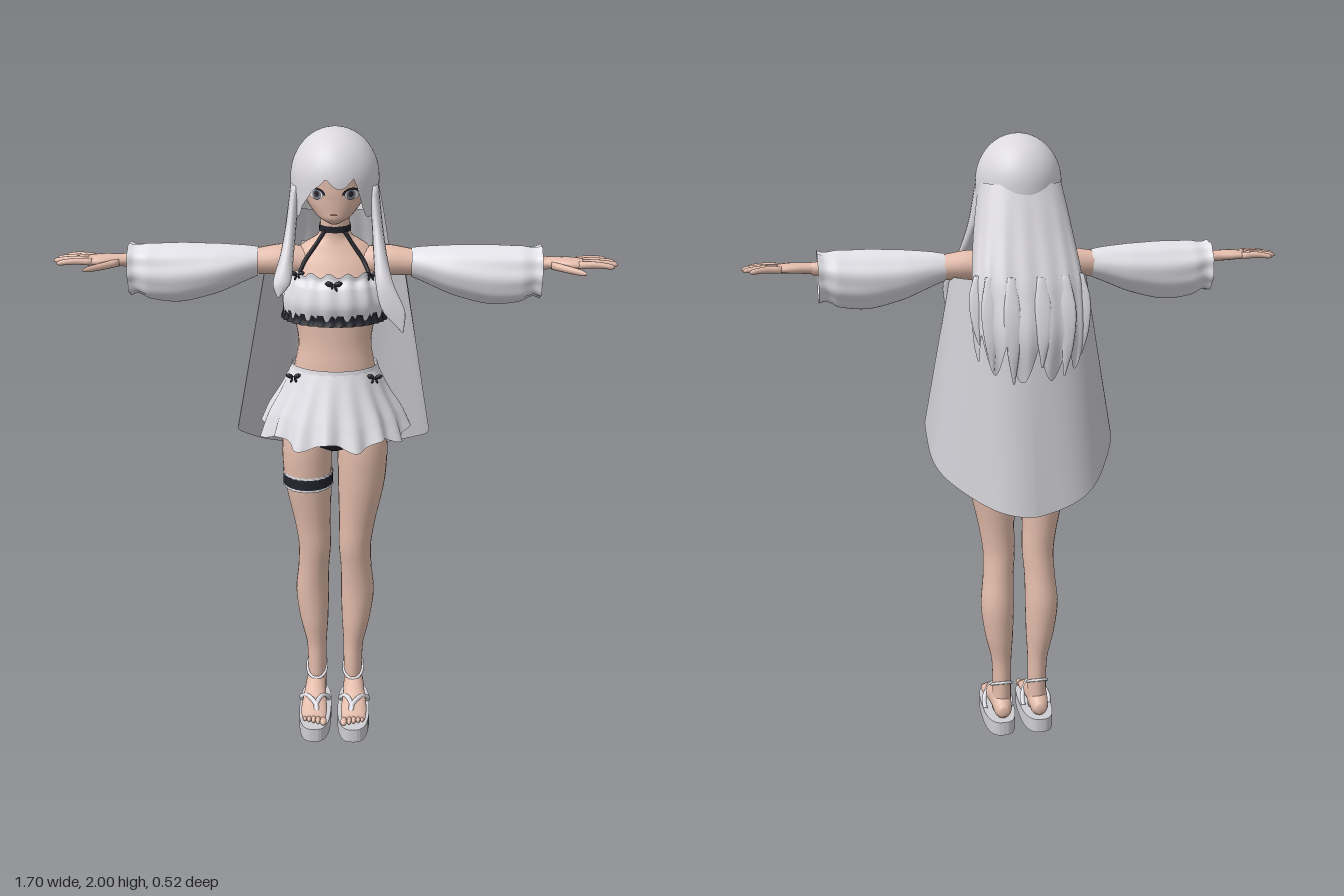
import * as THREE from 'three';
import { mergeVertices } from 'three/addons/utils/BufferGeometryUtils.js';

const { sin, cos, abs, sqrt, PI, min, max } = Math;
const mat = (name, color, side = THREE.FrontSide) => {
  const m = new THREE.MeshStandardMaterial({ color, side });
  m.name = name;
  return m;
};
const V = (p) => new THREE.Vector3(p[0], p[1], p[2] ?? 0);

// Smooth grid surface from fn(u, v); coincident seams are welded.
function surface(fn, nu, nv) {
  const pos = [], idx = [];
  for (let j = 0; j <= nv; j++) for (let i = 0; i <= nu; i++) pos.push(...fn(i / nu, j / nv));
  for (let j = 0; j < nv; j++) for (let i = 0; i < nu; i++) {
    const a = j * (nu + 1) + i, b = a + nu + 1;
    idx.push(a, b, a + 1, a + 1, b, b + 1);
  }
  let g = new THREE.BufferGeometry();
  g.setAttribute('position', new THREE.Float32BufferAttribute(pos, 3));
  g.setIndex(idx);
  g = mergeVertices(g, 1e-5);
  g.computeVertexNormals();
  return g;
}

// Elliptical sections [x, y, z, radiusU, radiusV], listed upward along the axis.
const AXES = { y: [0, 2], x: [2, 1], z: [1, 0] };
function loft(rows, { axis = 'y', seg = 24, steps = 24, cap = true, wave, hem } = {}) {
  const centre = new THREE.CatmullRomCurve3(rows.map(V));
  const radii = new THREE.CatmullRomCurve3(rows.map((r) => V([r[3], r[4]])));
  const [iu, iv] = AXES[axis], nv = steps + 2;
  return surface((u, v) => {
    const j = Math.round(v * nv), a = (u === 1 ? 0 : u) * 2 * PI;
    const t = cap ? min(1, max(0, (j - 1) / steps)) : v;
    const p = centre.getPoint(t).toArray(), r = radii.getPoint(t);
    const k = cap && (j === 0 || j === nv) ? 0 : wave ? wave(a, t) : 1;
    p[iu] += r.x * cos(a) * k;
    p[iv] += r.y * sin(a) * k;
    if (hem) p[1] += hem(a, t);
    return p;
  }, seg, nv);
}

const tube = (pts, r, closed = false) =>
  new THREE.TubeGeometry(new THREE.CatmullRomCurve3(pts.map(V), closed), 24, r, 8, closed);

export function createModel() {
  const skin = mat('skin', 0xe3bcab);
  const hair = mat('hair', 0xdbd9de, THREE.DoubleSide);
  const cloth = mat('white cloth', 0xe2e1e7, THREE.DoubleSide);
  const capeMat = mat('cape cloth', 0xcbcad0, THREE.DoubleSide);
  const black = mat('black cloth', 0x23242d, THREE.DoubleSide);
  const sole = mat('sandal sole', 0xcfcfd3);
  const iris = mat('iris', 0x74757e);
  const lip = mat('lip', 0xb9806f);

  const model = new THREE.Group();
  const add = (name, geo, m, parent = model) => {
    const mesh = new THREE.Mesh(geo, m);
    mesh.name = name;
    parent.add(mesh);
    return mesh;
  };
  const ball = (name, m, p, s, parent) => {
    const b = add(name, new THREE.SphereGeometry(1, 14, 10), m, parent);
    b.position.set(...p);
    b.scale.set(...s);
    return b;
  };
  const bow = (x, y, z, s) => {
    const g = new THREE.Group();
    g.name = 'bow';
    g.position.set(x, y, z);
    for (const d of [-1, 1]) {
      ball('bowLoop', black, [d * s, s * 0.3, 0], [s, s * 0.6, s * 0.4], g).rotation.z = d * 0.3;
      ball('bowTail', black, [d * s * 0.5, -s * 0.8, 0], [s * 0.3, s * 0.8, s * 0.3], g).rotation.z = d * 0.4;
    }
    model.add(g);
  };

  // Torso, neck and head
  add('torso', loft([[0, 1.08, 0.04, 0.15, 0.1], [0, 1.18, 0.045, 0.145, 0.1], [0, 1.27, 0.055, 0.125, 0.09],
    [0, 1.35, 0.055, 0.113, 0.082], [0, 1.45, 0.05, 0.13, 0.085], [0, 1.53, 0.045, 0.14, 0.085],
    [0, 1.6, 0.03, 0.135, 0.072], [0, 1.645, 0.025, 0.1, 0.055], [0, 1.68, 0.025, 0.048, 0.046],
    [0, 1.77, 0.035, 0.04, 0.043]], { steps: 40 }), skin);
  add('head', loft([[0, 1.732, 0.118, 0.015, 0.02], [0, 1.75, 0.095, 0.05, 0.06], [0, 1.79, 0.07, 0.083, 0.088],
    [0, 1.83, 0.055, 0.1, 0.105], [0, 1.88, 0.05, 0.108, 0.11], [0, 1.95, 0.05, 0.08, 0.08]], { seg: 32 }), skin);

  // Face details as thin curved plates
  const plate = (name, m, cx, cy, w, h, off, start = 0, len = 2 * PI, inner = 0) => {
    const g = inner ? new THREE.RingGeometry(inner, 1, 20, 1, start, len) : new THREE.CircleGeometry(1, 20, start, len);
    const p = g.attributes.position;
    for (let i = 0; i < p.count; i++) {
      const x = cx + p.getX(i) * w, y = cy + p.getY(i) * h;
      p.setXYZ(i, x, y, 0.055 + 0.105 * sqrt(1 - (x / 0.1) ** 2) + off);
    }
    g.computeVertexNormals();
    add(name, g, m);
  };
  for (const s of [-1, 1]) {
    plate('eyeWhite', cloth, s * 0.052, 1.823, 0.021, 0.014, 0.004);
    plate('iris', iris, s * 0.05, 1.823, 0.013, 0.015, 0.006);
    plate('pupil', black, s * 0.05, 1.826, 0.007, 0.009, 0.008);
    plate('eyelash', black, s * 0.052, 1.822, 0.028, 0.022, 0.007, 0.1, PI - 0.2, 0.72);
  }
  plate('mouth', lip, 0, 1.765, 0.011, 0.0025, 0.001);

  // Hair cap with a swept, pointed fringe
  const smooth = THREE.MathUtils.smoothstep;
  add('hairCap', surface((u, v) => {
    const d = ((u === 1 ? 0 : u) - 0.5) * 2 * PI, s = abs(d), yc = 1.855, ry = 0.145;
    const front = 1 - smooth(s, 0.7, 1.1);
    const end = 1.876 - front * 0.032 * abs(sin(5 * (d + 0.17))) - smooth(s, 0.4, 1.0) * 0.12 - smooth(s, 1.6, 2.6) * 0.03;
    const q = v * (end > yc ? Math.acos((end - yc) / ry) : PI / 2 + (yc - end) / ry);
    const y = q < PI / 2 ? yc + ry * cos(q) : yc - (q - PI / 2) * ry;
    const r = q < PI / 2 ? sin(q) : 1 - 0.06 * (q - PI / 2) ** 2;
    return [0.132 * r * sin(d), y, 0.037 + 0.149 * r * cos(d)];
  }, 96, 20), hair);

  // Long back hair: [back z, edge z, half width] at even heights, with a ragged hem
  const fall = new THREE.CatmullRomCurve3([[-0.1, 0.03, 0.124], [-0.157, -0.03, 0.15], [-0.215, -0.11, 0.168],
    [-0.245, -0.13, 0.17], [-0.225, -0.15, 0.155]].map(V));
  const hairPoint = (s, y, out = 0) => {
    const f = fall.getPoint(min(1, max(0, (1.86 - y) / 0.58))), c = max(0, cos(s * PI / 2));
    return [f.z * sin(s * PI / 2), y, f.y + (f.x - f.y) * c ** 0.55 - out];
  };
  add('backHair', surface((u, v) => {
    const s = 2 * u - 1;
    const end = 1.43 - 0.11 * abs(sin(s * 8.2 + 0.4)) - 0.04 * cos(s * 2.4);
    return hairPoint(s, 1.86 + (end - 1.86) * v, 0.004 * sin(s * 24) * v);
  }, 96, 24), hair);
  for (const [s, y] of [[-0.75, 1.36], [-0.42, 1.3], [-0.1, 1.33], [0.25, 1.28], [0.55, 1.32], [0.8, 1.4]]) {
    const rows = [0, 0.3, 0.65, 1].map((t, i) => [...hairPoint(s, y + t * (1.6 - y), -0.001), [0.003, 0.018, 0.026, 0.012][i], 0.005]);
    add('backHairLock', loft(rows, { seg: 12, steps: 12 }), hair);
  }

  // Front side locks; the left one is longer
  const lock = [[0.205, 1.44, 0.255, 0.003, 0.003], [0.175, 1.51, 0.25, 0.034, 0.007], [0.15, 1.58, 0.23, 0.026, 0.016],
    [0.137, 1.65, 0.175, 0.02, 0.036], [0.127, 1.73, 0.11, 0.016, 0.047], [0.115, 1.84, 0.065, 0.015, 0.05]];
  add('leftLock', loft(lock, { seg: 14 }), hair);
  add('rightLock', loft([[-0.16, 1.54, 0.245, 0.003, 0.004], ...lock.slice(2).map(([x, ...r]) => [-x, ...r])], { seg: 14 }), hair);

  // Choker, halter straps and bust top
  add('choker', loft([[0, 1.69, 0.026, 0.049, 0.049], [0, 1.71, 0.027, 0.047, 0.049]], { steps: 2, cap: false }), black);
  for (const s of [-1, 1]) {
    add('halterStrap', tube([[s * 0.03, 1.695, 0.068], [s * 0.06, 1.65, 0.078], [s * 0.088, 1.61, 0.09], [s * 0.11, 1.565, 0.118]], 0.006), black);
    bow(s * 0.11, 1.575, 0.122, 0.011);
    bow(s * 0.125, 1.25, 0.125, 0.012);
  }
  add('bustTop', loft([[0, 1.44, 0.058, 0.155, 0.108], [0, 1.49, 0.06, 0.158, 0.122], [0, 1.54, 0.058, 0.148, 0.114],
    [0, 1.565, 0.055, 0.141, 0.1], [0, 1.58, 0.055, 0.143, 0.1]],
  { seg: 120, cap: false, wave: (a) => 1 + 0.02 * sin(16 * a), hem: (a, t) => 0.008 * t * t * sin(16 * a) }), cloth);
  add('bustTrim', loft([[0, 1.427, 0.058, 0.163, 0.118], [0, 1.445, 0.058, 0.157, 0.112], [0, 1.462, 0.058, 0.156, 0.116]],
    { seg: 160, steps: 4, cap: false, wave: (a) => 1 + 0.02 * sin(32 * a) }), black);
  bow(0, 1.555, 0.168, 0.013);

  // Skirt and briefs
  const gather = (a, t) => 1 + 0.05 * (1 - t) * sin(16 * a) + 0.02 * (1 - t) * sin(7 * a);
  add('skirt', loft([[0, 1.055, 0.035, 0.228, 0.2], [0, 1.12, 0.037, 0.207, 0.175], [0, 1.2, 0.045, 0.165, 0.138], [0, 1.275, 0.056, 0.132, 0.1]],
    { seg: 160, cap: false, wave: gather, hem: (a, t) => 0.014 * (1 - t) ** 2 * sin(8 * a + 1) }), cloth);
  add('waistband', loft([[0, 1.255, 0.055, 0.138, 0.106], [0, 1.28, 0.056, 0.134, 0.102]], { steps: 2, cap: false }), cloth);
  add('briefs', loft([[0, 1.0, 0.045, 0.04, 0.07], [0, 1.03, 0.042, 0.12, 0.108], [0, 1.08, 0.04, 0.168, 0.126],
    [0, 1.15, 0.04, 0.16, 0.115]]), black);

  // Cape wrapping the back, straight sides and a slanting hem
  add('cape', surface((u, v) => {
    const s = 2 * u - 1, a = s * 1.75;
    const ripple = 1 + 0.018 * v * sin(a * 7);
    const z = (0.037 + 0.017 * v) - (0.127 + 0.187 * v) * cos(a) * ripple;
    const zEnd = 0.054 - 0.314 * cos(a);
    const end = 0.862 + 0.22 * (zEnd + 0.26) / 0.37 + 0.03 * max(0, s) * cos(a);
    const across = s < 0 ? -(abs(sin(a)) ** 1.2) : sin(a);
    return [(0.215 + 0.088 * v) * across * ripple, 1.57 + (end - 1.57) * v, z];
  }, 64, 28), capeMat);

  // Arms, sleeves, hands, legs and sandals, mirrored
  for (const s of [1, -1]) {
    const side = new THREE.Group();
    side.name = s > 0 ? 'leftLimbs' : 'rightLimbs';
    side.scale.x = s;
    model.add(side);
    const X = { axis: 'x', seg: 16 };
    add('arm', loft([[0.07, 1.59, 0.03, 0.05, 0.045], [0.15, 1.6, 0.035, 0.052, 0.047], [0.25, 1.595, 0.04, 0.042, 0.039],
      [0.42, 1.6, 0.05, 0.034, 0.034], [0.64, 1.6, 0.06, 0.022, 0.02]], X), skin, side);
    add('sleeve', loft([[0.232, 1.595, 0.042, 0.046, 0.043], [0.27, 1.59, 0.045, 0.055, 0.053], [0.36, 1.574, 0.05, 0.072, 0.075],
      [0.48, 1.562, 0.054, 0.078, 0.09], [0.56, 1.566, 0.056, 0.076, 0.086], [0.6, 1.573, 0.056, 0.067, 0.075],
      [0.622, 1.573, 0.056, 0.073, 0.081]],
    { axis: 'x', seg: 72, steps: 40, cap: false, wave: (a, t) => 1 + 0.035 * t * sin(9 * a + 2 * t) + 0.02 * sin(4 * a + 5 * t) }), cloth, side);
    add('palm', loft([[0.62, 1.6, 0.06, 0.021, 0.018], [0.66, 1.602, 0.063, 0.028, 0.017], [0.71, 1.603, 0.067, 0.041, 0.015],
      [0.745, 1.602, 0.068, 0.039, 0.012]], X), skin, side);
    [[0.036, 0.825, 0.02], [0.057, 0.845, 0.05], [0.078, 0.85, 0.077], [0.098, 0.835, 0.108]].forEach(([z0, x1, z1]) =>
      add('finger', loft([[0.73, 1.603, z0, 0.011, 0.011], [0.78, 1.606, (z0 + z1) / 2, 0.009, 0.01],
        [x1 - 0.01, 1.602, z1, 0.008, 0.008], [x1, 1.6, z1, 0.003, 0.003]], { axis: 'x', seg: 10, steps: 10 }), skin, side));
    add('thumb', loft([[0.65, 1.598, 0.08, 0.016, 0.012], [0.69, 1.596, 0.115, 0.014, 0.011], [0.73, 1.595, 0.15, 0.01, 0.009],
      [0.745, 1.595, 0.166, 0.004, 0.004]], { axis: 'x', seg: 10, steps: 10 }), skin, side);

    add('leg', loft([[0.062, 0.07, 0.02, 0.032, 0.04], [0.061, 0.16, 0.022, 0.031, 0.042], [0.062, 0.25, 0.02, 0.033, 0.044],
      [0.07, 0.35, 0.018, 0.047, 0.056], [0.075, 0.46, 0.018, 0.055, 0.06], [0.07, 0.56, 0.03, 0.051, 0.058],
      [0.066, 0.64, 0.04, 0.053, 0.06], [0.072, 0.72, 0.043, 0.058, 0.064], [0.086, 0.88, 0.046, 0.076, 0.08],
      [0.088, 1.0, 0.042, 0.08, 0.09], [0.082, 1.09, 0.035, 0.072, 0.085]], { steps: 50 }), skin, side);
    add('foot', loft([[0.063, 0.082, -0.042, 0.016, 0.015], [0.063, 0.086, -0.02, 0.036, 0.03], [0.064, 0.1, 0.03, 0.05, 0.034],
      [0.066, 0.09, 0.09, 0.039, 0.037], [0.067, 0.073, 0.155, 0.023, 0.043], [0.066, 0.065, 0.2, 0.014, 0.04]], { axis: 'z' }), skin, side);
    [0.034, 0.052, 0.067, 0.082, 0.096].forEach((x, i) =>
      ball('toe', skin, [x, 0.06, 0.212 - i * 0.006], [i ? 0.008 : 0.011, 0.011, 0.02], side));

    // Platform sandal
    const outline = [];
    for (let i = 0; i < 40; i++) {
      const a = i / 40 * 2 * PI, c = cos(a), d = sin(a);
      outline.push(new THREE.Vector2(0.065 + 0.054 * Math.sign(c) * abs(c) ** 0.7, -0.098 + 0.147 * Math.sign(d) * abs(d) ** 0.75));
    }
    const base = new THREE.ExtrudeGeometry(new THREE.Shape(outline), { depth: 0.048, bevelEnabled: false });
    add('sandalSole', base.rotateX(-PI / 2), sole, side);
    for (const x of [0.022, 0.112])
      add('sandalStrap', tube([[0.055, 0.06, 0.195], [0.06, 0.093, 0.165], [(x + 0.064) / 2, 0.102, 0.125], [x, 0.075, 0.085], [x, 0.05, 0.06]], 0.008), cloth, side);
    const anklet = [];
    for (let i = 0; i < 8; i++) anklet.push([0.062 + 0.033 * cos(i * PI / 4), 0.16 - 0.025 * sin(i * PI / 4), 0.022 + 0.046 * sin(i * PI / 4)]);
    add('ankleStrap', tube(anklet, 0.005, true), cloth, side);
  }

  // Thigh garter with frilled edges
  const ring = (y, h, r) => [[-0.086, y - h, 0.046, 0.075 + r, 0.079 + r], [-0.086, y + h, 0.046, 0.075 + r, 0.079 + r]];
  add('garter', loft(ring(0.885, 0.018, 0.005), { seg: 32, steps: 2, cap: false }), black);
  for (const y of [0.864, 0.906])
    add('garterFrill', loft(ring(y, 0.004, 0.005), { seg: 96, steps: 2, cap: false, wave: (a) => 1 + 0.02 * sin(24 * a) }), cloth);

  return model;
}
